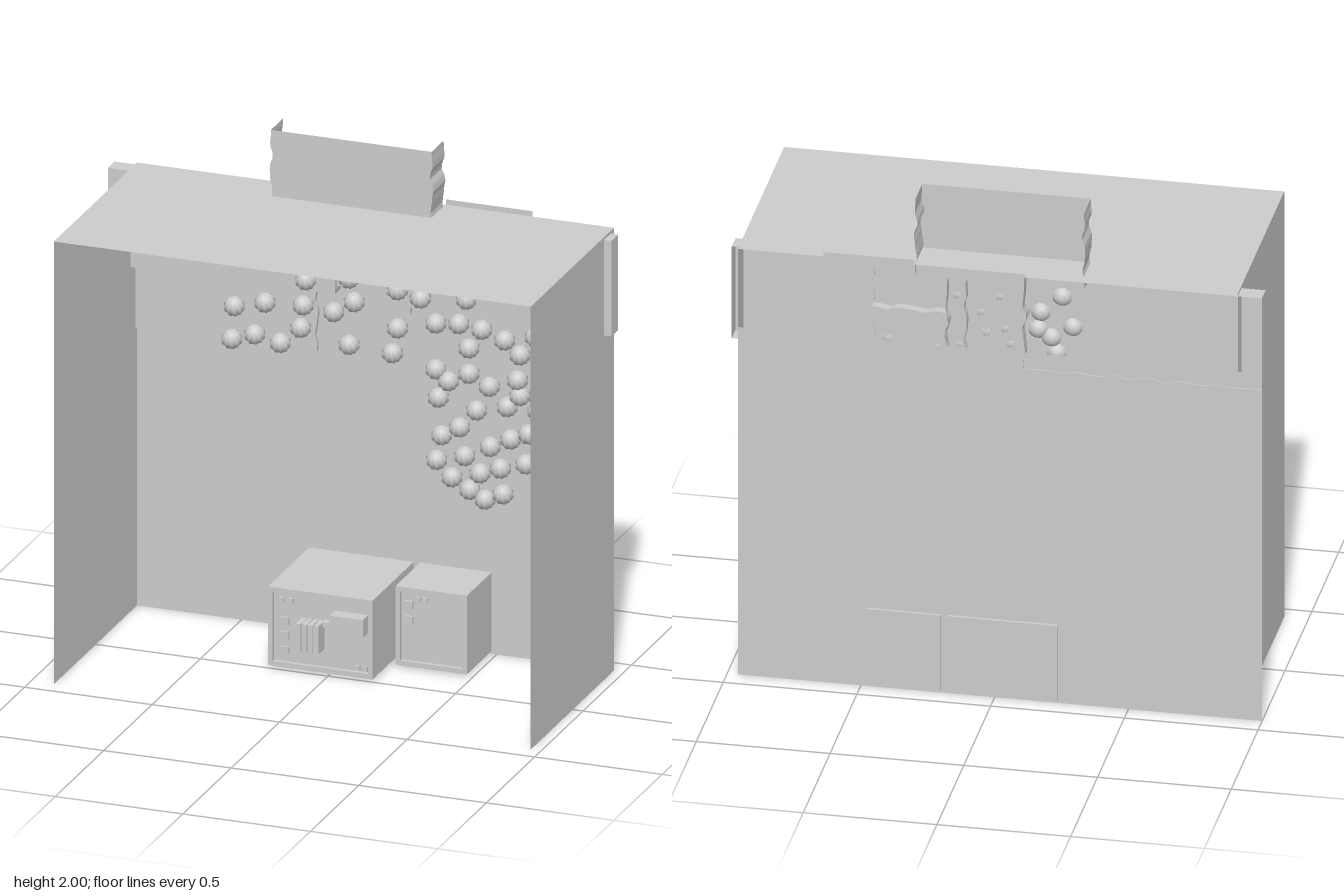
import * as THREE from 'three';

export function createModel() {
  const root = new THREE.Group();
  const grey = new THREE.MeshStandardMaterial({ color: 0xcccccc, side: THREE.DoubleSide });
  grey.name = 'light grey';

  function add(name, geometry, x = 0, y = 0, z = 0, parent = root) {
    const mesh = new THREE.Mesh(geometry, grey);
    mesh.name = name;
    mesh.position.set(x, y, z);
    parent.add(mesh);
    return mesh;
  }

  // Flat sheet facing z, given by its edges
  function sheet(name, x0, x1, y0, y1, z) {
    return add(name, new THREE.PlaneGeometry(x1 - x0, y1 - y0), (x0 + x1) / 2, (y0 + y1) / 2, z);
  }

  function box(name, x0, x1, y0, y1, z0, z1, parent = root) {
    return add(name, new THREE.BoxGeometry(x1 - x0, y1 - y0, z1 - z0),
      (x0 + x1) / 2, (y0 + y1) / 2, (z0 + z1) / 2, parent);
  }

  // Open-fronted booth: back, two sides and roof
  sheet('backWall', -1, 0.96, 0, 1.42, -0.425);
  for (const [name, x] of [['rightWall', -0.91], ['leftWall', 0.96]]) {
    add(name, new THREE.PlaneGeometry(0.86, 1.74), x, 0.87, 0.005).rotation.y = Math.PI / 2;
  }
  add('roof', new THREE.PlaneGeometry(1.87, 0.86), 0.025, 1.74, 0.005).rotation.x = -Math.PI / 2;
  sheet('upperBackPanel', -0.12, 0.48, 1.38, 1.74, -0.385);
  sheet('roofTrim', 0.3, 0.64, 1.72, 1.76, -0.428);

  // Shallow hanging with wavy edges; "wavy" and "rims" list edges by letter (b, r, t, l)
  function hanging(name, x0, x1, y0, y1, front, back, wavy, rims) {
    const corners = [[x0, y0], [x1, y0], [x1, y1], [x0, y1]];
    const outline = [], rim = [];
    'brtl'.split('').forEach((edge, i) => {
      const [ax, ay] = corners[i], [bx, by] = corners[(i + 1) % 4];
      const length = Math.hypot(bx - ax, by - ay);
      const n = Math.max(6, Math.round(length * 45));
      const line = [];
      for (let k = 0; k <= n; k++) {
        const t = k / n, s = t * length;
        const w = wavy.includes(edge)
          ? Math.sin(Math.PI * t) * 0.007 * (Math.sin(s * 48 + i) + 0.5 * Math.sin(s * 83)) : 0;
        line.push(new THREE.Vector2(ax + (bx - ax) * t + (i % 2 ? w : 0), ay + (by - ay) * t + (i % 2 ? 0 : w)));
      }
      outline.push(...line.slice(0, -1));
      if (!rims.includes(edge)) return;
      for (let k = 0; k < n; k++) {
        const p = line[k], q = line[k + 1];
        rim.push(p.x, p.y, front, p.x, p.y, back, q.x, q.y, back);
        rim.push(p.x, p.y, front, q.x, q.y, back, q.x, q.y, front);
      }
    });
    add(name, new THREE.ShapeGeometry(new THREE.Shape(outline)), 0, 0, front);
    const g = new THREE.BufferGeometry();
    g.setAttribute('position', new THREE.Float32BufferAttribute(rim, 3));
    g.computeVertexNormals();
    add(name + 'Edge', g);
  }

  hanging('topSign', -0.33, 0.3, 1.69, 2, -0.28, -0.405, 'blr', 'lr');
  hanging('upperRightHanging', -1, -0.11, 1.355, 1.73, -0.36, -0.43, 'br', 'brtl');
  hanging('lowerRightHanging', -1, -0.2, 1.1, 1.36, -0.41, -0.425, 'br', 'brtl');
  hanging('upperLeftHanging', 0.46, 0.99, 1.355, 1.73, -0.32, -0.39, 'blt', 'brtl');
  hanging('middleLeftHanging', 0.18, 0.96, 1.17, 1.36, -0.39, -0.42, 'bl', 'bl');
  hanging('smallLeftHanging', 0.18, 0.46, 1.34, 1.55, -0.375, -0.42, 'lt', 'lt');
  hanging('lowerLeftHanging', 0.07, 0.96, 0.94, 1.36, -0.41, -0.425, 'bl', 'bl');
  hanging('centreHanging', 0.11, 0.18, 1.31, 1.68, -0.375, -0.42, 'blr', 'blr');

  // Ribbed balls clustered over the hangings, as x, y pairs in hundredths
  const ballGeometry = new THREE.SphereGeometry(0.038, 20, 10);
  const p = ballGeometry.attributes.position;
  for (let i = 0; i < p.count; i++) {
    const a = Math.atan2(p.getZ(i), p.getX(i));
    const s = 1 + 0.07 * Math.cos(a * 10);
    p.setXYZ(i, p.getX(i) * s, p.getY(i), p.getZ(i) * s);
  }
  ballGeometry.computeVertexNormals();
  const upperBalls = [
    -24, 163, -1, 162, 15, 161, -16, 156, 6, 155, -28, 151, -20, 146, -15, 149, -3, 149, 4, 147,
    -5, 143, 14, 141, -22, 140, 23, 139, 41, 141, -3, 134, -11, 129, -23, 130, -38, 129, -50, 126,
    14, 126, 12, 116, -5, 117, -24, 121, -42, 116, -51, 113, -32, 114, 29, 130, 38, 131, 47, 130,
  ];
  const lowerBalls = [
    56, 127, 68, 130, 83, 129, 42, 122, 62, 122, 74, 122, 29, 112, 42, 112, 34, 108, 50, 108,
    61, 112, 73, 111, 62, 106, 70, 104, 78, 104, 30, 101, 45, 98, 57, 101, 69, 101, 37, 89,
    64, 90, 57, 87, 30, 85, 49, 83, 39, 78, 28, 75, 45, 72, 53, 75, 63, 78, 34, 69,
    41, 65, 47, 62, 54, 65,
  ];
  const balls = new THREE.Group();
  balls.name = 'ballClusters';
  root.add(balls);
  for (const list of [upperBalls, lowerBalls]) {
    for (let i = 0; i < list.length; i += 2) {
      const z = list[i + 1] > 95 ? -0.35 : -0.385;
      add('ball', ballGeometry, list[i] / 100, list[i + 1] / 100, z, balls).rotation.x = 0.6;
    }
  }

  // Cabinet with a recessed, framed front and a slatted base
  function cabinet(name, x0, x1, y0, y1, front) {
    const g = new THREE.Group();
    g.name = name;
    root.add(g);
    box('cabinetBody', x0, x1, y0, y1, -0.437, front - 0.015, g);
    const b = 0.018;
    box('frameTop', x0, x1, y1 - b, y1, front - 0.015, front, g);
    box('frameBottom', x0, x1, y0, y0 + b, front - 0.015, front, g);
    box('frameSide', x0, x0 + b, y0 + b, y1 - b, front - 0.015, front, g);
    box('frameSide', x1 - b, x1, y0 + b, y1 - b, front - 0.015, front, g);
    const n = Math.round((x1 - x0) / 0.1), w = (x1 - x0) / n;
    for (let i = 0; i < n; i++) {
      box('baseSlat', x0 + i * w + 0.008, x0 + (i + 1) * w - 0.008, y0 - 0.01, y0, -0.42, front - 0.02, g);
    }
    return g;
  }
  const large = cabinet('largeCabinet', -0.235, 0.175, 0.012, 0.32, 0);
  const small = cabinet('smallCabinet', 0.2, 0.48, 0.012, 0.32, -0.17);

  // Buttons and knobs on the cabinet fronts
  function button(g, x, y, z, size) {
    box('button', x - size / 2, x + size / 2, y - size / 2, y + size / 2, z - 0.015, z - 0.005, g);
  }
  for (const y of [0.19, 0.135, 0.075]) button(large, -0.172, y, 0, 0.03);
  for (const x of [-0.185, -0.15, 0.112, 0.143]) button(large, x, x < 0 ? 0.272 : 0.045, 0, 0.018);
  for (const y of [0.25, 0.19]) button(small, 0.25, y, -0.17, 0.03);
  for (const x of [0.285, 0.312]) button(small, x, 0.275, -0.17, 0.018);

  // Stack of slats and raised block on the large cabinet
  for (let i = 0; i < 4; i++) {
    const x = -0.108 + i * 0.023;
    box('slat', x, x + 0.02, 0.1, 0.21, -0.015, 0.05, large);
  }
  box('connector', -0.016, 0.022, 0.195, 0.215, -0.015, 0.015, large);
  box('raisedBlock', 0.022, 0.152, 0.185, 0.255, -0.015, 0.04, large);

  return root;
}
